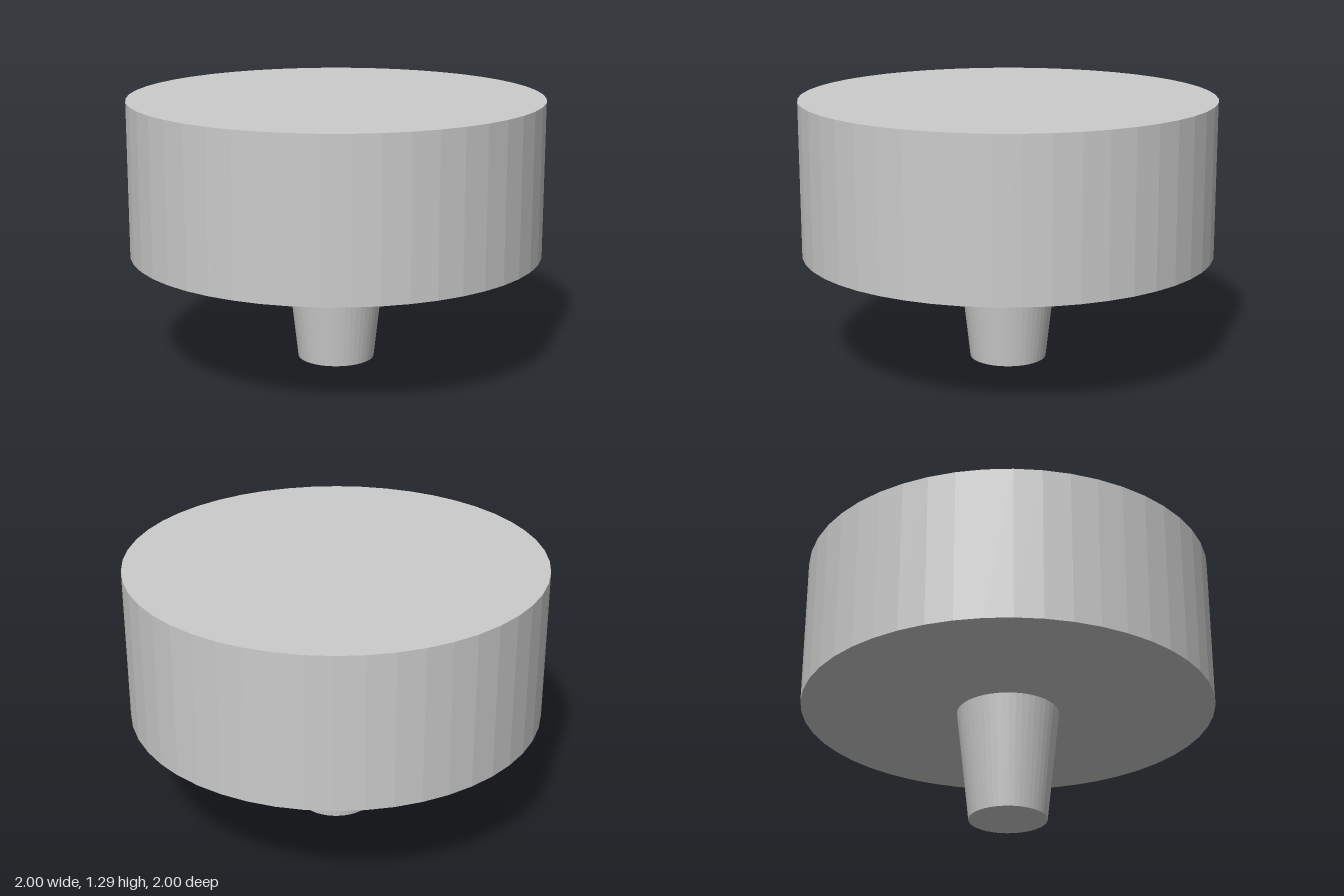
import * as THREE from 'three';

const SIDES = 48;
const STEM_HEIGHT = 0.545;
const HEAD_HEIGHT = 0.75;

export function createModel() {
  const group = new THREE.Group();
  const material = new THREE.MeshStandardMaterial({ color: 0xcccccc, flatShading: true });

  // Upright round part standing on the given base height
  function addRound(name, topRadius, bottomRadius, height, baseY) {
    const geometry = new THREE.CylinderGeometry(topRadius, bottomRadius, height, SIDES);
    const mesh = new THREE.Mesh(geometry, material);
    mesh.name = name;
    mesh.position.y = baseY + height / 2;
    group.add(mesh);
  }

  // Tapered stem, narrowing towards the ground
  addRound('stem', 0.248, 0.187, STEM_HEIGHT, 0);

  // Wide disc-shaped head
  addRound('head', 1, 1, HEAD_HEIGHT, STEM_HEIGHT);

  return group;
}
